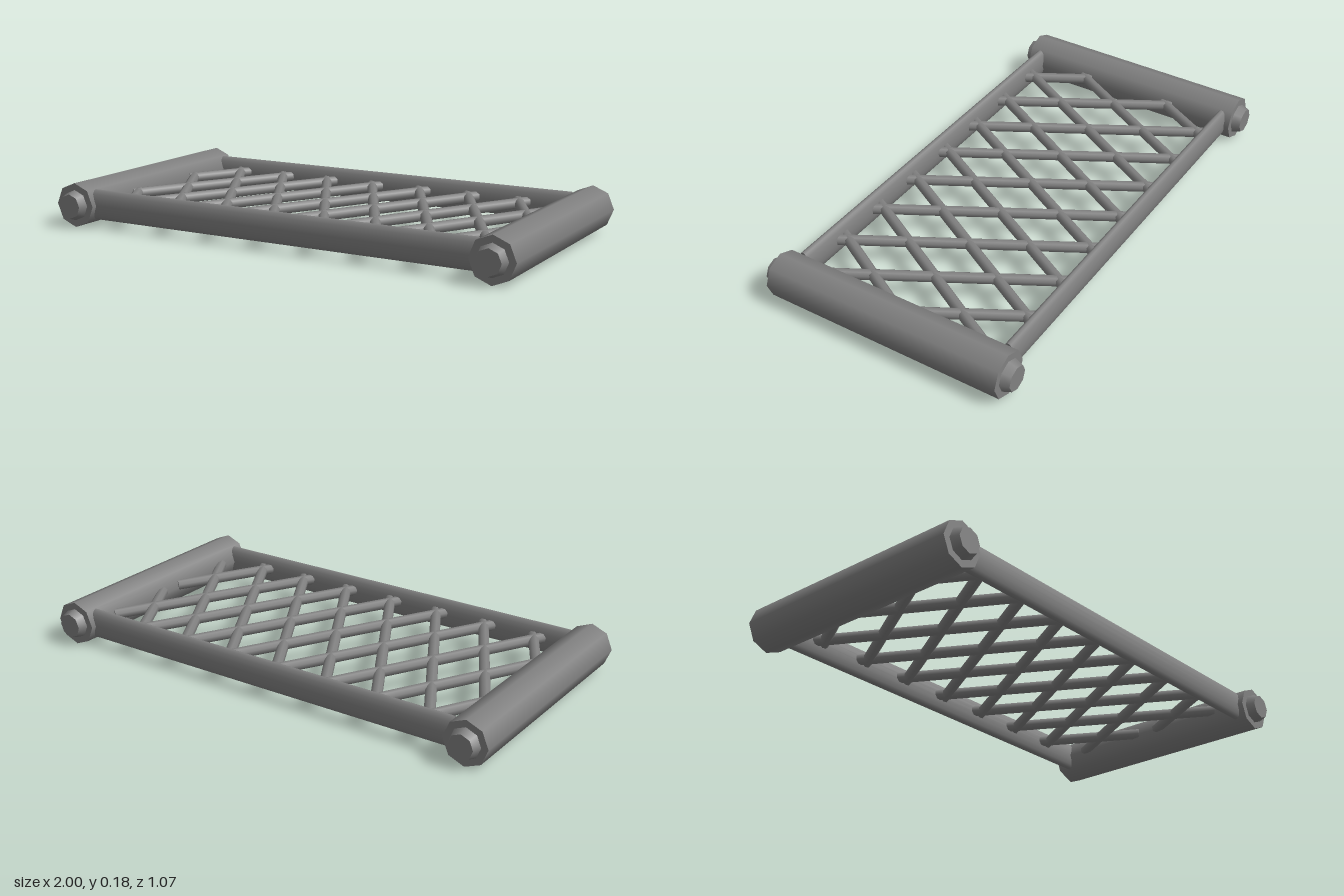
import * as THREE from 'three';

const Y = 0.09; // centre height of the posts
const material = new THREE.MeshStandardMaterial({ color: 0x808080 });

function addMesh(parent, name, geometry) {
  const mesh = new THREE.Mesh(geometry, material);
  mesh.name = name;
  parent.add(mesh);
  return mesh;
}

export function createModel() {
  const model = new THREE.Group();
  model.name = 'latticePanel';

  // Octagonal end posts with a tapered cap at each end
  const postShape = new THREE.CylinderGeometry(0.09, 0.09, 1, 8);
  const capShape = new THREE.CylinderGeometry(0.05, 0.062, 0.035, 8);
  for (const side of [-1, 1]) {
    const post = new THREE.Group();
    post.name = side > 0 ? 'leftPost' : 'rightPost';
    post.position.set(side * 0.91, Y, 0);
    addMesh(post, 'postBody', postShape).rotation.x = Math.PI / 2;
    for (const end of [-1, 1]) {
      const cap = addMesh(post, end > 0 ? 'frontCap' : 'backCap', capShape);
      cap.rotation.x = end * Math.PI / 2;
      cap.position.z = end * 0.5175;
    }
    model.add(post);
  }

  // Tall oval rails joining the posts
  const railShape = new THREE.CylinderGeometry(1, 1, 1.68, 16);
  railShape.rotateZ(Math.PI / 2).scale(1, 0.062, 0.025);
  for (const end of [-1, 1]) {
    const rail = addMesh(model, end > 0 ? 'frontRail' : 'backRail', railShape);
    rail.position.set(0, Y + 0.003, end * 0.453);
  }

  // Diagonal lattice: two mirrored families of bars, cut off at the posts
  const lattice = new THREE.Group();
  lattice.name = 'lattice';
  lattice.position.y = Y + 0.008;
  const pitch = 0.2245, slope = 0.56, limitX = 0.835, limitZ = 0.44;
  for (const lean of [-1, 1]) {
    for (let k = -1; k <= 7; k++) {
      const centre = -0.71 + k * pitch;
      const ends = [-limitZ, limitZ].map((z) => {
        const x = THREE.MathUtils.clamp(centre + lean * slope * z, -limitX, limitX);
        return new THREE.Vector3(x, 0, (x - centre) / (lean * slope));
      });
      const along = ends[1].clone().sub(ends[0]);
      const bar = addMesh(lattice, 'latticeBar', new THREE.CylinderGeometry(0.022, 0.022, along.length(), 8));
      bar.position.copy(ends[0]).add(ends[1]).multiplyScalar(0.5);
      bar.quaternion.setFromUnitVectors(new THREE.Vector3(0, 1, 0), along.normalize());
    }
  }
  model.add(lattice);

  return model;
}
